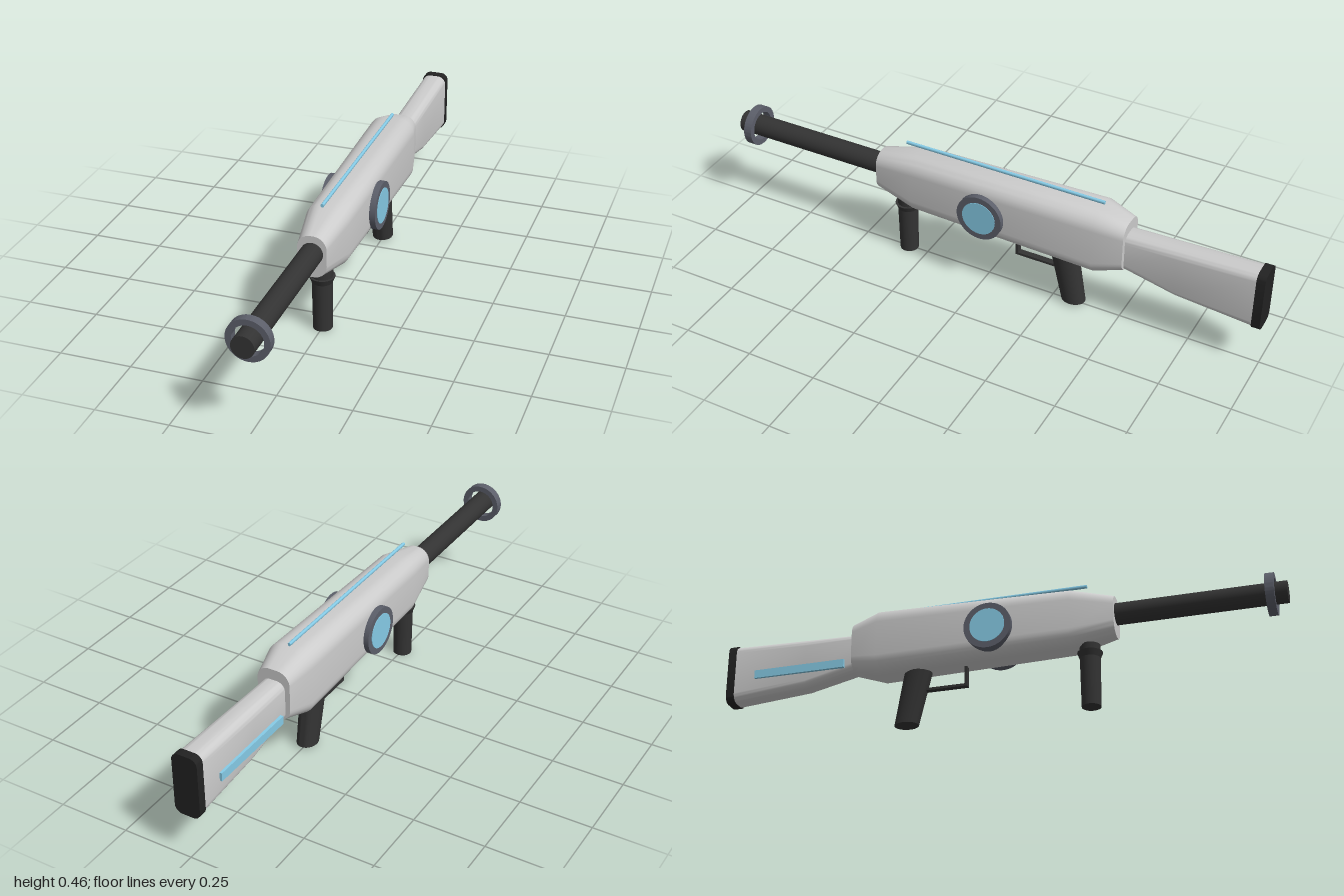
import * as THREE from 'three';
import { toCreasedNormals } from 'three/addons/utils/BufferGeometryUtils.js';

const mat = (color) => new THREE.MeshStandardMaterial({ color });

// Closed outline of a rounded rectangle, counter-clockwise seen from +z
function roundedOutline(y0, y1, hw, r, steps = 8) {
  const pts = [];
  const corners = [[hw - r, y0 + r], [hw - r, y1 - r], [r - hw, y1 - r], [r - hw, y0 + r]];
  corners.forEach(([cx, cy], k) => {
    for (let s = 0; s <= steps; s++) {
      const a = (k - 1 + s / steps) * Math.PI / 2;
      pts.push([cx + r * Math.cos(a), cy + r * Math.sin(a)]);
    }
  });
  return pts;
}

// Capped skin over sections [z, bottom, top, halfWidth, cornerRadius], front to back
function loft(sections) {
  const pos = [], idx = [];
  sections.forEach(([z, y0, y1, hw, r]) =>
    roundedOutline(y0, y1, hw, r).forEach(([x, y]) => pos.push(x, y, z)));
  const n = pos.length / 3 / sections.length;
  for (let i = 0; i < sections.length - 1; i++) {
    for (let j = 0; j < n; j++) {
      const a = i * n + j, b = i * n + (j + 1) % n, c = b + n, d = a + n;
      idx.push(a, d, c, a, c, b);
    }
  }
  const last = (sections.length - 1) * n;
  for (let j = 1; j < n - 1; j++) {
    idx.push(0, j, j + 1, last, last + j + 1, last + j);
  }
  const geo = new THREE.BufferGeometry();
  geo.setAttribute('position', new THREE.Float32BufferAttribute(pos, 3));
  geo.setIndex(idx);
  return toCreasedNormals(geo, 0.45);
}

export function createModel() {
  const group = new THREE.Group();
  const shell = mat(0xcccccc), dark = mat(0x333333), black = mat(0x222222);
  const metal = mat(0x5c5f6a), blue = mat(0x86cbe6);

  const add = (name, geo, material, x = 0, y = 0, z = 0) => {
    const mesh = new THREE.Mesh(geo, material);
    mesh.name = name;
    mesh.position.set(x, y, z);
    group.add(mesh);
    return mesh;
  };

  // Main shell, tapering at both ends
  add('body', loft([
    [0.42, 0.243, 0.392, 0.05, 0.045],
    [0.27, 0.21, 0.427, 0.075, 0.055],
    [-0.42, 0.197, 0.441, 0.083, 0.058],
    [-0.52, 0.228, 0.41, 0.06, 0.045],
  ]), shell);

  // Shoulder stock and its end pad
  add('stock', loft([
    [-0.5, 0.232, 0.371, 0.042, 0.03],
    [-0.7, 0.187, 0.376, 0.043, 0.03],
    [-0.975, 0.165, 0.383, 0.045, 0.03],
  ]), shell);
  add('buttPad', loft([
    [-0.97, 0.163, 0.386, 0.046, 0.026],
    [-1, 0.163, 0.386, 0.046, 0.026],
  ]), black);

  // Barrel with a loose ring near the muzzle
  add('barrel', new THREE.CylinderGeometry(0.038, 0.038, 0.62, 32), dark, 0, 0.33, 0.69)
    .rotation.x = Math.PI / 2;
  const ring = new THREE.Shape().absarc(0, 0, 0.072, 0, Math.PI * 2);
  ring.holes.push(new THREE.Path().absarc(0, 0, 0.052, 0, Math.PI * 2, true));
  const ringGeo = new THREE.ExtrudeGeometry(ring, { depth: 0.03, bevelEnabled: false, curveSegments: 40 });
  add('muzzleRing', toCreasedNormals(ringGeo, 0.5), metal, 0, 0.328, 0.93);

  // Round housing through the body, with a lens on each side
  add('lensHousing', new THREE.CylinderGeometry(0.084, 0.084, 0.196, 40), metal, 0, 0.305, -0.01)
    .rotation.z = Math.PI / 2;
  for (const side of [1, -1]) {
    add(side > 0 ? 'leftLens' : 'rightLens',
      new THREE.CylinderGeometry(0.062, 0.062, 0.006, 40), blue, side * 0.097, 0.305, -0.01)
      .rotation.z = Math.PI / 2;
  }

  // Light strips on the top and on one side of the stock
  add('topStrip', loft([
    [0.32, 0.445, 0.457, 0.005, 0.004],
    [-0.425, 0.445, 0.457, 0.005, 0.004],
  ]), blue);
  add('stockStrip', new THREE.BoxGeometry(0.012, 0.03, 0.34), blue, -0.047, 0.255, -0.72);

  // Front grip with a flared collar
  add('frontGrip', new THREE.CylinderGeometry(0.036, 0.033, 0.224, 24), dark, 0, 0.112, 0.325);
  add('frontGripCollar', new THREE.CylinderGeometry(0.044, 0.034, 0.025, 24), dark, 0, 0.185, 0.325);

  // Rear grip: tapered oval leaning backwards
  const grip = new THREE.CylinderGeometry(1, 1, 0.22, 28, 1);
  const p = grip.attributes.position;
  for (let i = 0; i < p.count; i++) {
    const t = p.getY(i) / 0.22 + 0.5;
    p.setX(i, p.getX(i) * (0.036 + 0.005 * t));
    p.setZ(i, p.getZ(i) * (0.043 + 0.008 * t) - 0.327 + 0.045 * t);
  }
  add('rearGrip', toCreasedNormals(grip, 0.6), dark, 0, 0.12, 0);

  // Trigger guard: front post and lower bar
  add('guardPost', new THREE.BoxGeometry(0.022, 0.085, 0.009), dark, 0, 0.1725, -0.112);
  add('guardBar', new THREE.BoxGeometry(0.022, 0.009, 0.18), dark, 0, 0.134, -0.197);

  return group;
}
